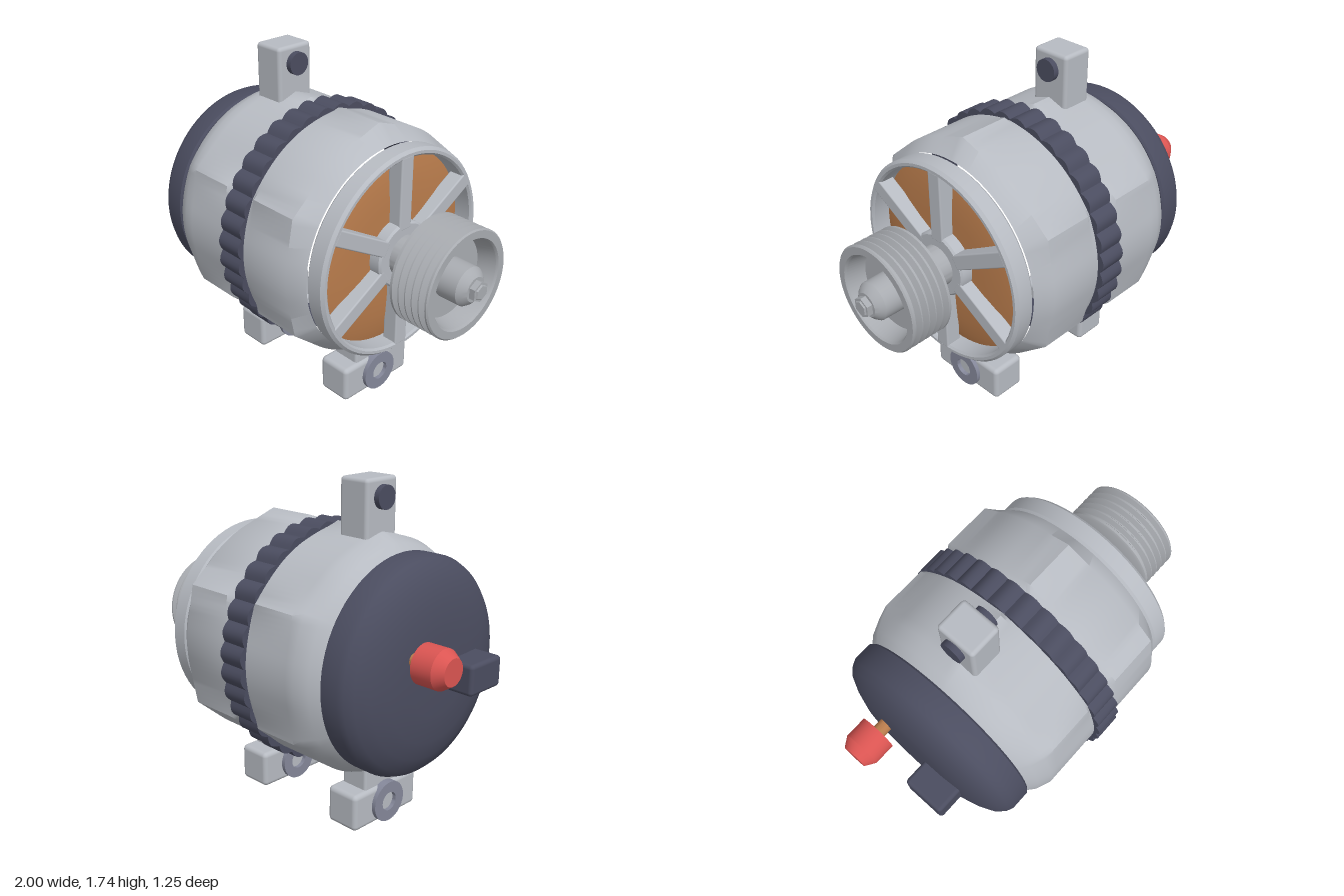
import * as THREE from 'three';
import { toCreasedNormals } from 'three/addons/utils/BufferGeometryUtils.js';
import { RoundedBoxGeometry } from 'three/addons/geometries/RoundedBoxGeometry.js';

const AXIS_Y = 0.875;

function material(name, color) {
  const m = new THREE.MeshStandardMaterial({ color });
  m.name = name;
  return m;
}

export function createModel() {
  const model = new THREE.Group();
  model.name = 'alternator';
  const casing = material('casing grey', 0xb7bbc2);
  const steel = material('steel grey', 0xa9acb1);
  const bushingGrey = material('bushing grey', 0x85889a);
  const dark = material('dark slate', 0x4b4d60);
  const copper = material('copper', 0xb97c4c);
  const red = material('terminal red', 0xdb5552);

  function add(name, geometry, mat, x = 0, y = 0, z = 0, parent = model) {
    const mesh = new THREE.Mesh(geometry, mat);
    mesh.name = name;
    mesh.position.set(x, y, z);
    parent.add(mesh);
    return mesh;
  }
  // Turned part along x; points are [x, radius], outside surface running toward +x
  function turned(points, segments = 72, crease = 0.5) {
    const g = new THREE.LatheGeometry(points.map(([x, r]) => new THREE.Vector2(r, x)), segments);
    g.rotateZ(-Math.PI / 2);
    return crease ? toCreasedNormals(g, crease) : g;
  }
  const box = (w, h, d, r = 0.02) => new RoundedBoxGeometry(w, h, d, 3, r);

  // Casing: a drum with six soft ridges; rows are [x, radius, ridge strength]
  const rows = [
    [-0.545, 0.525, 0], [-0.5, 0.562, 0.2], [-0.43, 0.59, 0.5], [-0.38, 0.59, 1], [-0.13, 0.59, 1],
    [-0.1, 0.59, 0.2], [0.04, 0.59, 0.2], [0.07, 0.59, 1], [0.34, 0.59, 1], [0.42, 0.535, 0],
  ];
  const drum = new THREE.LatheGeometry(rows.map(([x, r]) => new THREE.Vector2(r, x)), 144);
  const pos = drum.attributes.position;
  const halfRidge = Math.acos(0.59 / 0.625);
  for (let i = 0; i < pos.count; i++) {
    const a = Math.atan2(pos.getX(i), pos.getZ(i));
    const step = Math.PI / 3;
    const off = Math.abs(((a + 4 * Math.PI) % step) - step / 2);
    if (off < halfRidge) {
      const k = 1 + (1 / Math.cos(halfRidge - off) - 1) * rows[i % rows.length][2];
      pos.setX(i, pos.getX(i) * k);
      pos.setZ(i, pos.getZ(i) * k);
    }
  }
  drum.rotateZ(-Math.PI / 2);
  add('casing', toCreasedNormals(drum, 0.65), casing, 0, AXIS_Y);

  // Scalloped middle band
  const bandShape = new THREE.Shape();
  const scallops = 36, perScallop = 6;
  for (let i = 0; i < scallops * perScallop; i++) {
    const a = (i / (scallops * perScallop)) * Math.PI * 2;
    const r = 0.603 + 0.022 * Math.sin(((i % perScallop) / perScallop) * Math.PI);
    if (i) bandShape.lineTo(r * Math.cos(a), r * Math.sin(a));
    else bandShape.moveTo(r, 0);
  }
  bandShape.closePath();
  const hole = new THREE.Path();
  hole.absarc(0, 0, 0.56, 0, Math.PI * 2, true);
  bandShape.holes.push(hole);
  const band = new THREE.ExtrudeGeometry(bandShape, { depth: 0.145, bevelEnabled: false, curveSegments: 48 });
  band.rotateY(Math.PI / 2);
  add('middleBand', toCreasedNormals(band, 0.5), dark, -0.11, AXIS_Y);

  // Rear cover
  add('rearCover', turned([
    [-0.787, 0], [-0.785, 0.2], [-0.775, 0.335], [-0.748, 0.425], [-0.715, 0.495], [-0.68, 0.527],
    [-0.65, 0.54], [-0.555, 0.54], [-0.545, 0.53], [-0.545, 0.4],
  ], 72, 0.7), dark, 0, AXIS_Y);

  // Front ring, windings, hub and spokes
  add('frontRing', turned([
    [0.42, 0.5], [0.42, 0.525], [0.435, 0.539], [0.515, 0.539], [0.53, 0.525], [0.53, 0.51], [0.52, 0.5], [0.42, 0.5],
  ]), casing, 0, AXIS_Y);
  add('windings', turned([
    [0.425, 0.51], [0.442, 0.45], [0.455, 0.36], [0.462, 0.25], [0.465, 0],
  ], 72, 0), copper, 0, AXIS_Y);
  add('frontHub', turned([
    [0.43, 0.17], [0.52, 0.17], [0.53, 0.16], [0.53, 0],
  ]), casing, 0, AXIS_Y);
  const spokes = new THREE.Group();
  spokes.name = 'spokes';
  spokes.position.y = AXIS_Y;
  model.add(spokes);
  for (let i = 0; i < 6; i++) {
    const a = (i * Math.PI) / 3;
    const spoke = add('spoke', box(0.085, 0.38, 0.08, 0.008), casing, 0.488, 0.325 * Math.cos(a), 0.325 * Math.sin(a), spokes);
    spoke.rotation.x = a;
  }

  // Shaft and grooved pulley
  add('shaft', turned([[0.5, 0.105], [0.7, 0.105]]), steel, 0, AXIS_Y);
  const pulley = [[0.685, 0], [0.685, 0.262], [0.692, 0.275]];
  for (let i = 0; i < 5; i++) {
    const x = 0.705 + i * 0.04;
    pulley.push([x, 0.275], [x + 0.014, 0.247], [x + 0.02, 0.247], [x + 0.034, 0.275]);
  }
  pulley.push([0.908, 0.275], [0.915, 0.268], [0.915, 0.23], [0.905, 0.222], [0.81, 0.205], [0.81, 0]);
  add('pulley', turned(pulley), steel, 0, AXIS_Y);
  add('pulleyBoss', turned([[0.8, 0.1], [0.925, 0.098], [0.945, 0.083], [0.963, 0.062], [0.963, 0]], 48), steel, 0, AXIS_Y);
  const nut = new THREE.CylinderGeometry(0.052, 0.052, 0.035, 6);
  nut.rotateZ(-Math.PI / 2);
  nut.rotateX(Math.PI / 2);
  add('shaftNut', toCreasedNormals(nut, 0.5), steel, 0.975, AXIS_Y);
  const tip = new THREE.CylinderGeometry(0.036, 0.044, 0.012, 6);
  tip.rotateZ(-Math.PI / 2);
  tip.rotateX(Math.PI / 2);
  add('nutTip', toCreasedNormals(tip, 0.5), steel, 0.994, AXIS_Y);

  // Top lug with cross pin
  add('topLug', box(0.175, 0.3, 0.21), casing, -0.328, 1.59);
  add('topPin', turned([
    [-0.445, 0], [-0.445, 0.058], [-0.21, 0.058], [-0.21, 0],
  ], 32), dark, 0, 1.65);

  // Mounting feet, each with a neck and a bushing on both sides
  for (const x of [-0.39, 0.278]) {
    const foot = new THREE.Group();
    foot.name = 'mountingFoot';
    foot.position.x = x;
    model.add(foot);
    add('footBlock', box(0.19, 0.196, 0.46, 0.025), casing, 0, 0.108, 0, foot);
    add('footNeck', box(0.155, 0.22, 0.28, 0.015), casing, 0, 0.26, 0, foot);
    add('footBushing', turned([
      [-0.117, 0.05], [-0.117, 0.107], [0.117, 0.107], [0.117, 0.05], [-0.117, 0.05],
    ], 40), bushingGrey, 0, 0.11, 0, foot);
  }

  // Rear power terminal and connector
  add('terminalStud', turned([[-0.86, 0.035], [-0.76, 0.035]], 24), copper, 0, 0.99, -0.18);
  add('terminalCap', turned([
    [-1, 0], [-1, 0.065], [-0.95, 0.097], [-0.838, 0.097], [-0.838, 0],
  ], 32), red, 0, 0.99, -0.18);
  add('connector', box(0.18, 0.155, 0.23), dark, -0.83, 0.852, 0.185);

  return model;
}
